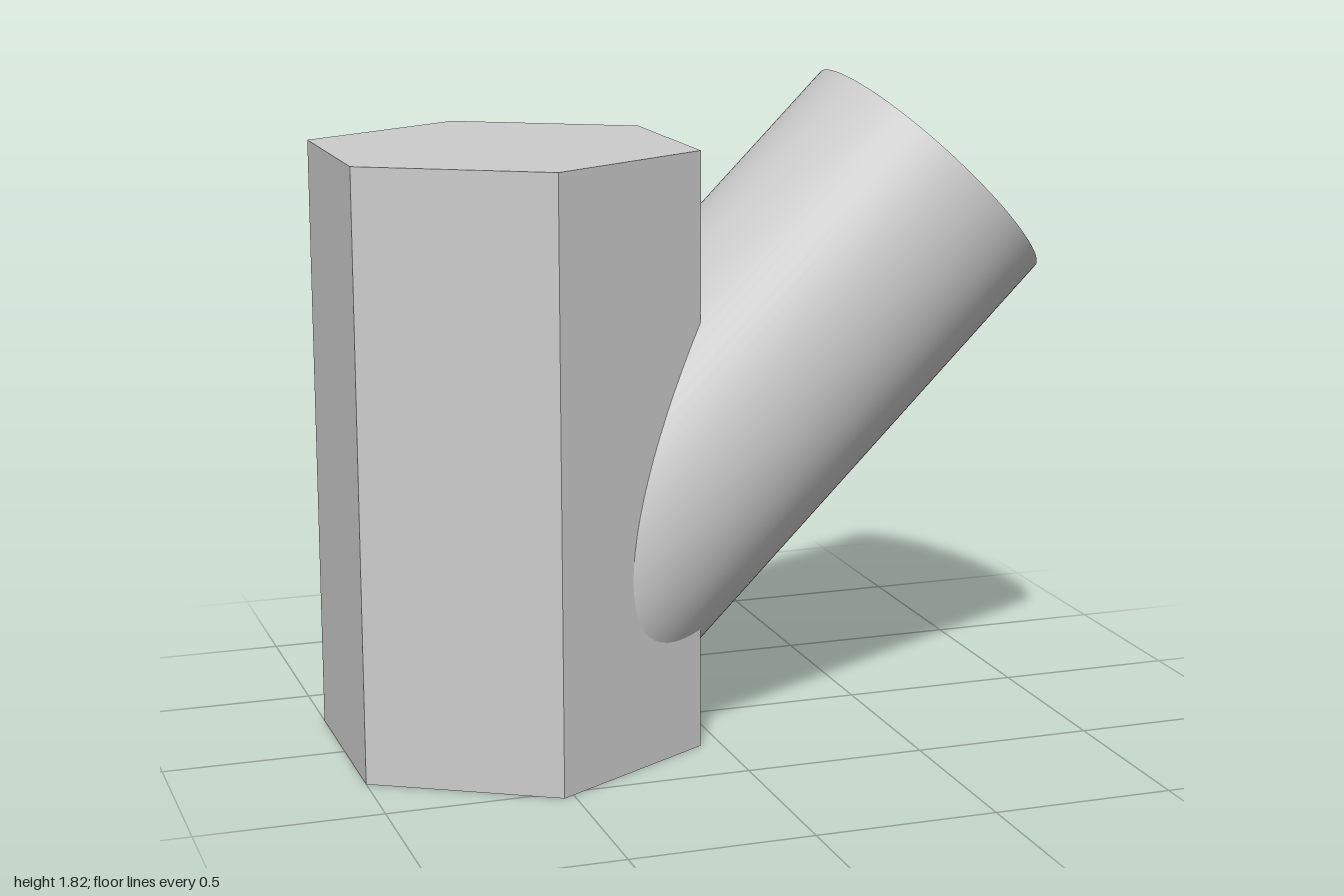
import * as THREE from 'three';

export function createModel() {
  const group = new THREE.Group();

  // upright hexagonal post, corners pointing along z
  const height = 1.655;
  const post = new THREE.Mesh(
    new THREE.CylinderGeometry(0.543, 0.543, height, 6),
    new THREE.MeshStandardMaterial({ color: 0xcccccc, flatShading: true })
  );
  post.name = 'hexagonalPost';
  post.position.set(-0.53, height / 2, 0);
  group.add(post);

  // round branch rising at 45 degrees, its lower end buried in the post
  const start = new THREE.Vector3(-0.5, 0.325, 0);
  const end = new THREE.Vector3(0.708, 1.533, 0);
  const branch = new THREE.Mesh(
    new THREE.CylinderGeometry(0.407, 0.407, start.distanceTo(end), 96),
    new THREE.MeshStandardMaterial({ color: 0xcccccc })
  );
  branch.name = 'slantedBranch';
  branch.position.copy(start).lerp(end, 0.5);
  branch.rotation.z = -Math.PI / 4;
  group.add(branch);

  return group;
}
